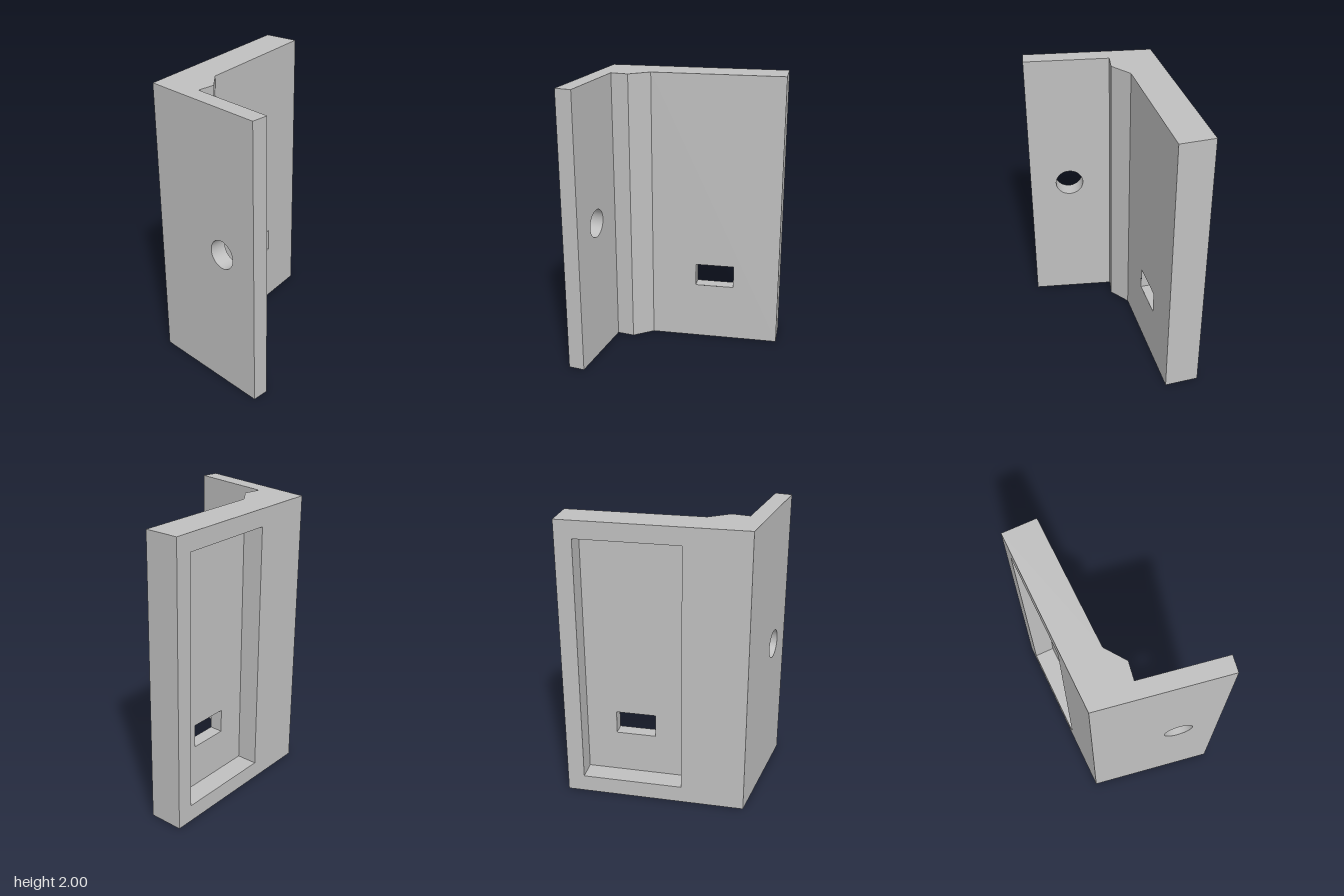
import * as THREE from 'three';

const HEIGHT = 2;

// Plan outline (x, z), ordered so every wall faces outward
const PROFILE = [
  [-0.64, 0.553], [-0.525, 0.553], [-0.525, -0.035], [-0.4, -0.035],
  [-0.28, -0.155], [0.64, -0.318], [0.598, -0.553], [-0.64, -0.335],
];
const WALL_NAMES = ['flangeEnd', 'flangeInner', 'filletLedge', 'filletChamfer',
  'plateFront', 'plateEnd', 'plateBack', 'flangeOuter'];

const rect = (u0, u1, v0, v1) => [[u0, v0], [u1, v0], [u1, v1], [u0, v1]];

const circle = (u, v, r, n = 48) => Array.from({ length: n }, (_, i) => {
  const a = (i / n) * Math.PI * 2;
  return [u + r * Math.cos(a), v + r * Math.sin(a)];
});

const toVectors = (points) => points.map(([x, y]) => new THREE.Vector2(x, y));

function faceGeometry(outline, holes = []) {
  const shape = new THREE.Shape(toVectors(outline));
  holes.forEach((h) => shape.holes.push(new THREE.Path(toVectors(h))));
  return new THREE.ShapeGeometry(shape);
}

// Inward-facing sides of an opening, sunk from z = 0 to z = -depth
function tunnelGeometry(outline, depth, smooth) {
  const n = outline.length;
  const positions = [];
  const index = [];
  outline.forEach(([x, y], i) => {
    positions.push(x, y, 0, x, y, -depth);
    const p = 2 * i;
    const q = 2 * ((i + 1) % n);
    index.push(p, q, q + 1, p, q + 1, p + 1);
  });
  let geometry = new THREE.BufferGeometry();
  geometry.setAttribute('position', new THREE.Float32BufferAttribute(positions, 3));
  geometry.setIndex(index);
  if (!smooth) geometry = geometry.toNonIndexed();
  geometry.computeVertexNormals();
  return geometry;
}

export function createModel() {
  const model = new THREE.Group();
  model.name = 'angleBracket';
  const grey = new THREE.MeshStandardMaterial({ color: 0xc0c0c0 });
  grey.name = 'lightGrey';

  const add = (parent, name, geometry, z = 0) => {
    const mesh = new THREE.Mesh(geometry, grey);
    mesh.name = name;
    mesh.position.z = z;
    parent.add(mesh);
    return mesh;
  };

  // Openings, measured along each wall from its starting corner
  const holeZ = 0.265;
  const holeRadius = 0.1;
  const boltInner = circle(0.553 - holeZ, 1.005, holeRadius);
  const boltOuter = circle(holeZ + 0.335, 1.005, holeRadius);
  const slotFront = rect(0.325, 0.604, 0.42, 0.585);
  const slotBack = rect(0.33, 0.609, 0.42, 0.585);
  const recess = rect(0.118, 0.82, 0.12, 1.88);
  const recessDepth = 0.147;
  const floorThickness = 0.092;
  const openings = {
    flangeInner: [boltInner], flangeOuter: [boltOuter],
    plateFront: [slotFront], plateBack: [recess],
  };

  // Upright walls
  const walls = {};
  PROFILE.forEach(([x, z], i) => {
    const [x2, z2] = PROFILE[(i + 1) % PROFILE.length];
    const name = WALL_NAMES[i];
    const wall = new THREE.Group();
    wall.name = name;
    wall.position.set(x, 0, z);
    wall.rotation.y = Math.atan2(-(z2 - z), x2 - x);
    const length = Math.hypot(x2 - x, z2 - z);
    add(wall, name + 'Face', faceGeometry(rect(0, length, 0, HEIGHT), openings[name]));
    model.add(wall);
    walls[name] = wall;
  });

  // Round bolt hole through the flange
  add(walls.flangeOuter, 'boltHole', tunnelGeometry(boltOuter, 0.115, true));

  // Recessed pocket in the back, with a slot through its floor
  add(walls.plateBack, 'recessSides', tunnelGeometry(recess, recessDepth, false));
  add(walls.plateBack, 'recessFloor', faceGeometry(recess, [slotBack]), -recessDepth);
  add(walls.plateBack, 'slotSides', tunnelGeometry(slotBack, floorThickness, false), -recessDepth);

  // Top and bottom caps
  const top = add(model, 'topCap', faceGeometry(PROFILE.map(([x, z]) => [x, -z])));
  top.rotation.x = -Math.PI / 2;
  top.position.y = HEIGHT;
  const bottom = add(model, 'bottomCap', faceGeometry(PROFILE));
  bottom.rotation.x = Math.PI / 2;

  return model;
}
